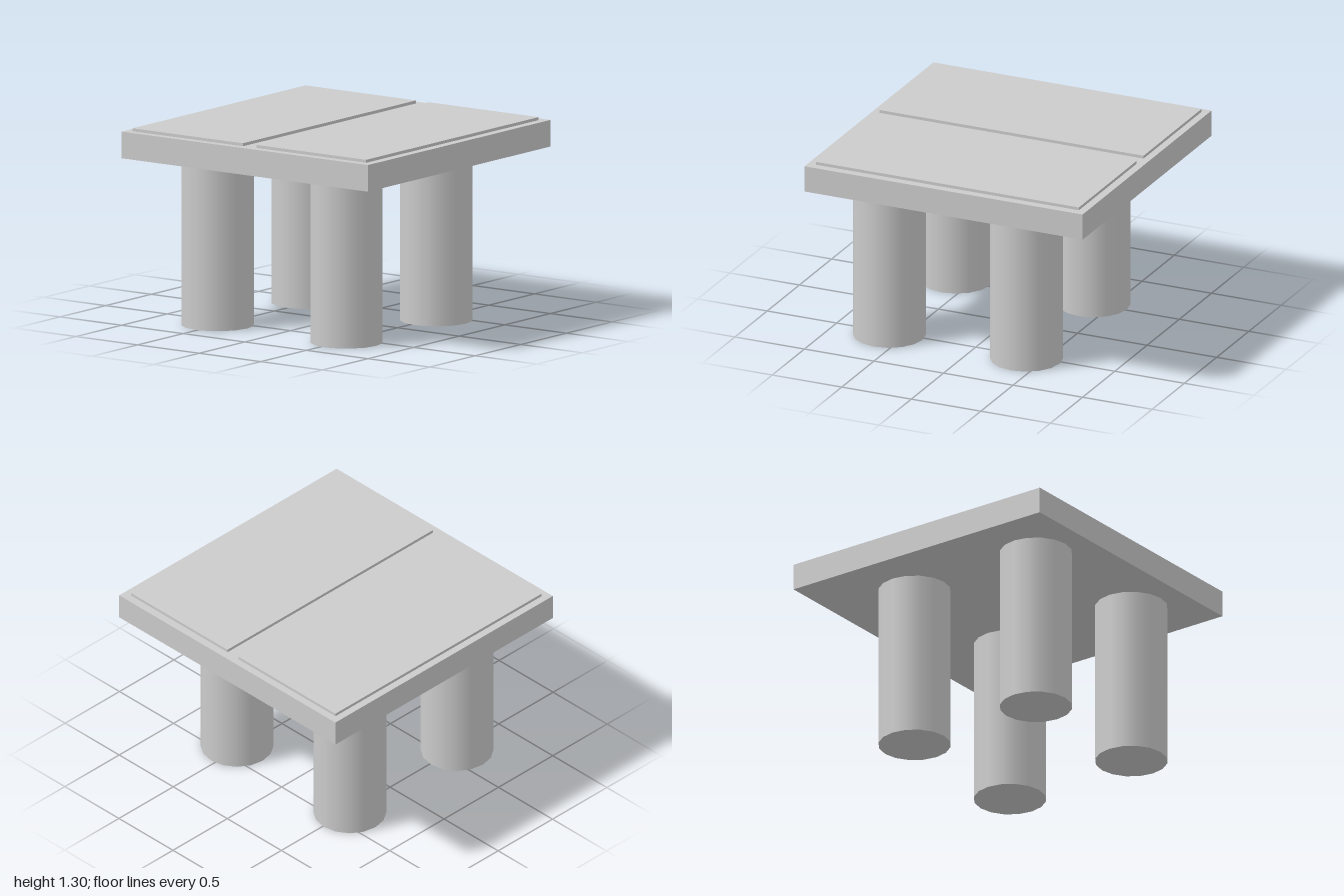
import * as THREE from 'three';

export function createModel() {
  const model = new THREE.Group();
  const material = new THREE.MeshStandardMaterial({ color: 0xcccccc });

  // Adds a box given by its lower and upper limits on each axis
  function addBox(name, [x0, x1], [y0, y1], [z0, z1]) {
    const mesh = new THREE.Mesh(new THREE.BoxGeometry(x1 - x0, y1 - y0, z1 - z0), material);
    mesh.position.set((x0 + x1) / 2, (y0 + y1) / 2, (z0 + z1) / 2);
    mesh.name = name;
    model.add(mesh);
  }

  const slabBottom = 1.108, slabTop = 1.285, panelTop = 1.305;

  // Square table top with two thin raised panels
  addBox('tableTop', [-1, 1], [slabBottom, slabTop], [-1, 1]);
  addBox('rightPanel', [-0.95, -0.053], [slabTop, panelTop], [-0.95, 0.948]);
  addBox('leftPanel', [0.052, 0.943], [slabTop, panelTop], [-0.947, 0.943]);

  // Four round legs, set slightly off centre
  const legGeometry = new THREE.CylinderGeometry(0.238, 0.238, slabBottom, 16);
  for (const [side, x] of [['Right', -0.511], ['Left', 0.533]]) {
    for (const [end, z] of [['front', 0.606], ['back', -0.38]]) {
      const leg = new THREE.Mesh(legGeometry, material);
      leg.position.set(x, slabBottom / 2, z);
      leg.name = `${end}${side}Leg`;
      model.add(leg);
    }
  }

  return model;
}
